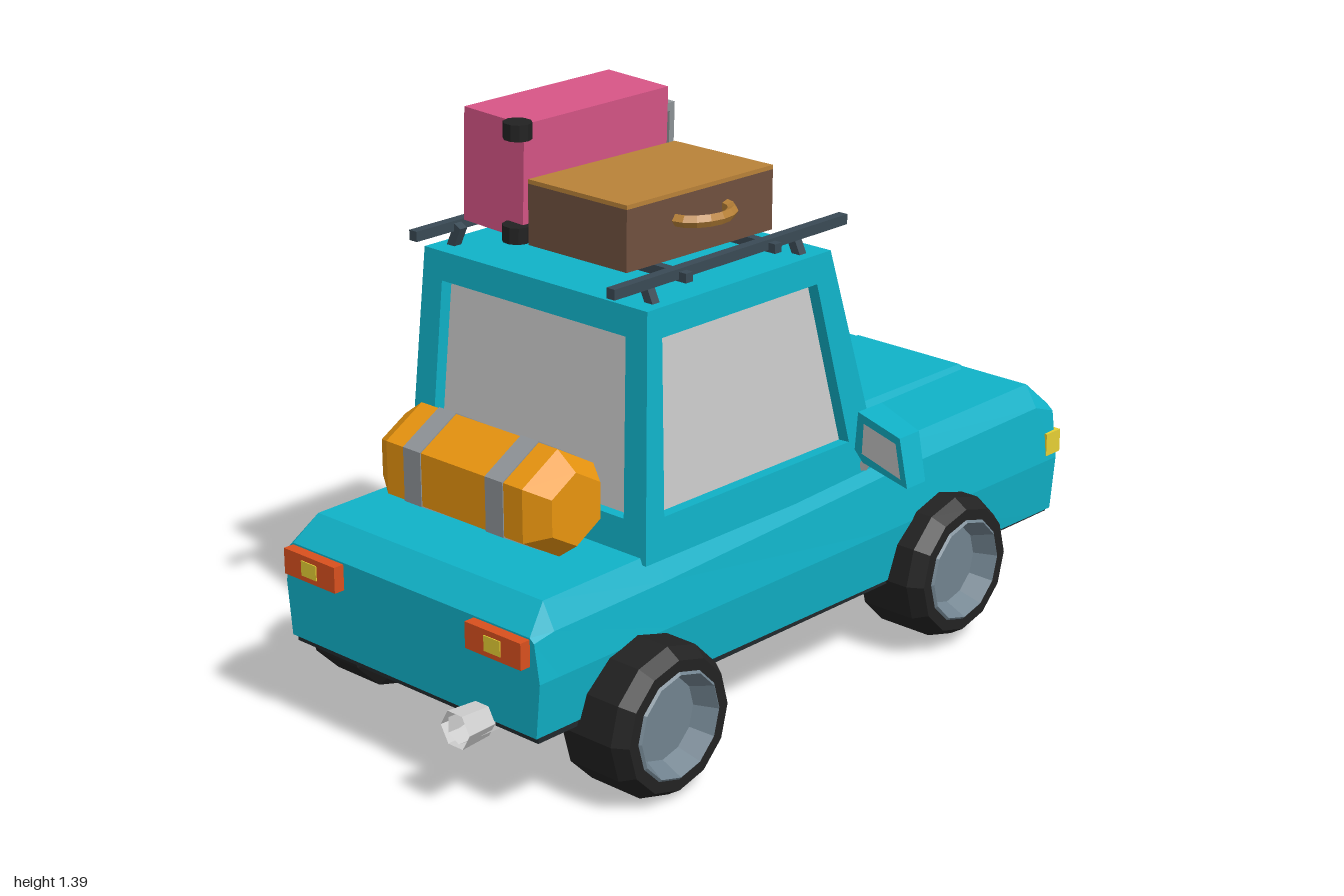
import * as THREE from 'three';

const mat = (color) => new THREE.MeshStandardMaterial({ color, flatShading: true, side: THREE.DoubleSide });
const V = (x, y, z) => new THREE.Vector3(x, y, z);

// Geometry from convex polygons, each a loop of Vector3
function polyGeometry(polys) {
  const pos = [];
  for (const p of polys) {
    for (let i = 1; i < p.length - 1; i++) for (const v of [p[0], p[i], p[i + 1]]) pos.push(v.x, v.y, v.z);
  }
  const g = new THREE.BufferGeometry();
  g.setAttribute('position', new THREE.Float32BufferAttribute(pos, 3));
  g.computeVertexNormals();
  return g;
}

// Loft along x: each section is [x, half profile of [z, y] from bottom to top]
function loft(sections) {
  const rings = sections.map(([x, half]) => [
    ...half.map(([z, y]) => V(x, y, -z)),
    ...half.slice().reverse().map(([z, y]) => V(x, y, z)),
  ]);
  const polys = [rings[0].slice().reverse(), rings[rings.length - 1]];
  for (let k = 0; k < rings.length - 1; k++) {
    const a = rings[k], b = rings[k + 1];
    a.forEach((p, i) => {
      const j = (i + 1) % a.length;
      polys.push([p, a[j], b[j], b[i]]);
    });
  }
  return polyGeometry(polys);
}

export function createModel() {
  const model = new THREE.Group();
  const car = new THREE.Group();
  car.name = 'car';
  car.rotation.y = -0.075;
  car.position.z = -0.005;
  model.add(car);

  const paint = mat(0x10b2c8), dark = mat(0x22292d), rubber = mat(0x222222), steel = mat(0x71838f);
  const grey = mat(0xcccccc), rackMat = mat(0x3a4a55), yellow = mat(0xe6cf35), red = mat(0xd9501e);
  const pink = mat(0xd65586), brown = mat(0x70503f), tan = mat(0xb98238), orange = mat(0xe8940f);
  const trim = mat(0x8f9498);

  const add = (name, geo, m, x = 0, y = 0, z = 0, parent = car) => {
    const mesh = new THREE.Mesh(geo, m);
    mesh.name = name;
    mesh.position.set(x, y, z);
    parent.add(mesh);
    return mesh;
  };
  const box = (name, m, w, h, d, x, y, z, parent) => add(name, new THREE.BoxGeometry(w, h, d), m, x, y, z, parent);

  // Lower body with boot and bonnet
  const half = (bottom, shoulder, top, topZ) => [[0.395, bottom], [0.408, 0.34], [0.393, shoulder], [topZ, top]];
  add('body', loft([
    [-0.9, half(0.21, 0.43, 0.44, 0.38)],
    [-0.84, half(0.21, 0.44, 0.5, 0.36)],
    [-0.5, half(0.21, 0.445, 0.505, 0.36)],
    [0.25, half(0.205, 0.475, 0.533, 0.36)],
    [0.84, half(0.2, 0.485, 0.54, 0.36)],
    [0.91, half(0.2, 0.46, 0.475, 0.375)],
  ]), paint);
  add('bonnetPanel', loft([
    [0.25, [[0.19, 0.51], [0.165, 0.552]]],
    [0.82, [[0.19, 0.51], [0.165, 0.552]]],
    [0.87, [[0.19, 0.48], [0.17, 0.515]]],
  ]), paint);
  box('underside', dark, 1.79, 0.02, 0.78, 0.005, 0.204, 0);

  // Cabin: four framed, recessed windows and a roof
  const corner = (front, top, side) => (top
    ? V(front ? 0.095 : -0.505, 1.055, side * 0.348)
    : V(front ? 0.252 : -0.545, 0.49, side * 0.378));
  function windowWall(name, a, b, [s0, s1, t0, t1]) {
    const c = [corner(...a(0)), corner(...b(0)), corner(...b(1)), corner(...a(1))];
    const at = (s, t) => c[0].clone().lerp(c[1], s).lerp(c[3].clone().lerp(c[2], s), t);
    const inner = [at(s0, t0), at(s1, t0), at(s1, t1), at(s0, t1)];
    const n = c[1].clone().sub(c[0]).cross(c[3].clone().sub(c[0])).normalize();
    const deep = inner.map((p) => p.clone().addScaledVector(n, -0.03));
    const polys = [];
    for (let i = 0; i < 4; i++) {
      const j = (i + 1) % 4;
      polys.push([c[i], c[j], inner[j], inner[i]], [inner[i], inner[j], deep[j], deep[i]]);
    }
    add(name + 'Frame', polyGeometry(polys), paint);
    add(name + 'Glass', polyGeometry([deep]), grey);
  }
  const post = (front, side) => (top) => [front, top, side];
  windowWall('leftWindow', post(false, 1), post(true, 1), [0.075, 0.89, 0.17, 0.88]);
  windowWall('rightWindow', post(true, -1), post(false, -1), [0.11, 0.925, 0.17, 0.88]);
  windowWall('windscreen', post(true, 1), post(true, -1), [0.07, 0.93, 0.09, 0.88]);
  windowWall('rearWindow', post(false, -1), post(false, 1), [0.09, 0.91, 0.16, 0.88]);
  add('roof', polyGeometry([[corner(false, 1, 1), corner(true, 1, 1), corner(true, 1, -1), corner(false, 1, -1)]]), paint);

  // Wheels
  const lathe = (pts, n) => new THREE.LatheGeometry(pts.map((p) => new THREE.Vector2(...p)), n);
  const tyreGeo = lathe([[0, -0.1], [0.14, -0.1], [0.177, -0.07], [0.177, 0.075], [0.155, 0.11], [0.128, 0.11]], 12);
  const rimGeo = lathe([[0.128, 0.11], [0.122, 0.115], [0.098, 0.06], [0, 0.06]], 12);
  for (const side of [1, -1]) {
    for (const [label, x, y, z] of [['front', 0.445, 0.203, 0.378], ['rear', -0.6, 0.178, 0.418]]) {
      const wheel = new THREE.Group();
      wheel.name = label + 'Wheel';
      wheel.position.set(x, y, side * z);
      wheel.rotation.x = side * Math.PI / 2;
      add('tyre', tyreGeo, rubber, 0, 0, 0, wheel);
      add('rim', rimGeo, steel, 0, 0, 0, wheel);
      car.add(wheel);
    }
  }

  // Grille with vertical bars
  box('grille', steel, 0.02, 0.155, 0.315, 0.91, 0.333, 0);
  for (let i = 0; i < 5; i++) box('grilleBar', rackMat, 0.02, 0.153, 0.03, 0.914, 0.333, -0.125 + i * 0.0625);

  // Lights and mirrors on both sides
  const mirrorShape = new THREE.Shape([[0.395, 0.575], [0.405, 0.67], [0.555, 0.652], [0.585, 0.54], [0.425, 0.552]]
    .map((p) => new THREE.Vector2(...p)));
  for (const s of [1, -1]) {
    add('headlight', new THREE.SphereGeometry(0.064, 8, 5), grey, 0.928, 0.382, s * 0.302).rotation.z = -Math.PI / 2;
    box('indicator', yellow, 0.055, 0.058, 0.04, 0.897, 0.382, s * 0.388);
    box('tailLight', red, 0.035, 0.062, 0.17, -0.91, 0.405, s * 0.295);
    box('tailLightLens', yellow, 0.01, 0.036, 0.05, -0.925, 0.405, s * 0.295);

    // Swept wing mirror, thinner at the tip
    const g = new THREE.ExtrudeGeometry(mirrorShape, { depth: 0.085, bevelEnabled: false });
    const p = g.attributes.position;
    for (let i = 0; i < p.count; i++) {
      const z = p.getX(i), y = p.getY(i), d = p.getZ(i);
      p.setXYZ(i, 0.135 - 0.22 * (z - 0.4) + d * (1 - 1.2 * (z - 0.4)), y, z * s);
    }
    if (s > 0) { // keep the winding outward after swapping axes
      for (let i = 0; i < p.count; i += 3) {
        const a = V().fromBufferAttribute(p, i), b = V().fromBufferAttribute(p, i + 1);
        p.setXYZ(i, b.x, b.y, b.z);
        p.setXYZ(i + 1, a.x, a.y, a.z);
      }
    }
    g.computeVertexNormals();
    add('wingMirror', g, paint);
    const glass = [[0.425, 0.575], [0.43, 0.65], [0.545, 0.637], [0.565, 0.557]];
    add('mirrorGlass', polyGeometry([glass.map(([z, y]) => V(0.131 - 0.22 * (z - 0.4), y, z * s))]), grey);
    add('mirrorArm', new THREE.TubeGeometry(new THREE.LineCurve3(V(0.19, 0.51, s * 0.375), V(0.18, 0.58, s * 0.425)), 1, 0.012, 5), grey);
  }

  // Exhaust pipe
  const pipe = new THREE.CatmullRomCurve3([[0.5, 0.185, -0.06], [0.15, 0.18, -0.07], [-0.15, 0.175, -0.03], [-0.27, 0.18, 0.06],
    [-0.38, 0.185, 0.17], [-0.55, 0.185, 0.21], [-0.97, 0.205, 0.23]].map((p) => V(...p)));
  add('exhaustPipe', new THREE.TubeGeometry(pipe, 14, 0.036, 6), grey);
  add('exhaustTip', new THREE.CylinderGeometry(0.045, 0.04, 0.08, 6, 1, true), grey, -0.94, 0.205, 0.229).rotation.z = Math.PI / 2;

  // Roof rack
  for (const s of [1, -1]) {
    box('rackRail', rackMat, 0.76, 0.024, 0.024, -0.195, 1.103, s * 0.308);
    for (const x of [-0.45, 0.03]) box('rackFoot', rackMat, 0.022, 0.065, 0.022, x, 1.075, s * 0.3).rotation.x = -s * 0.45;
  }
  for (const x of [-0.365, -0.075]) box('rackCrossbar', rackMat, 0.022, 0.022, 0.68, x, 1.097, 0);

  // Brown suitcase
  const suitcase = new THREE.Group();
  suitcase.name = 'brownSuitcase';
  suitcase.position.set(-0.235, 1.185, 0.105);
  suitcase.rotation.z = -0.015;
  car.add(suitcase);
  box('case', brown, 0.47, 0.14, 0.3, 0, -0.005, 0, suitcase);
  box('lid', tan, 0.47, 0.01, 0.3, 0, 0.07, 0, suitcase);
  const handle = add('handle', new THREE.TorusGeometry(0.08, 0.015, 5, 8, Math.PI), tan, 0, 0.012, 0.148, suitcase);
  handle.rotation.x = Math.PI / 2;
  handle.scale.y = 0.75;

  // Pink trolley case standing on its side
  const trolley = new THREE.Group();
  trolley.name = 'pinkCase';
  trolley.position.set(-0.222, 1.25, -0.172);
  trolley.rotation.x = 0.04;
  car.add(trolley);
  box('case', pink, 0.46, 0.265, 0.19, 0, 0, 0, trolley);
  box('pullHandle', trim, 0.016, 0.17, 0.028, 0.252, 0.005, 0.075, trolley);
  for (const s of [1, -1]) {
    box('handleMount', trim, 0.03, 0.02, 0.028, 0.236, 0.005 + s * 0.075, 0.075, trolley);
    add('caster', new THREE.CylinderGeometry(0.033, 0.033, 0.038, 10), rubber, -0.235, s * 0.118, 0.08, trolley);
  }

  // Bedroll on the boot, with two straps
  const roll = new THREE.Group();
  roll.name = 'bedroll';
  roll.position.set(-0.657, 0.63, 0.01);
  roll.rotation.x = Math.PI / 2;
  car.add(roll);
  add('roll', lathe([[0, -0.27], [0.085, -0.27], [0.125, -0.215], [0.125, 0.215], [0.085, 0.27], [0, 0.27]], 6), orange, 0, 0, 0, roll);
  for (const s of [1, -1]) add('strap', new THREE.CylinderGeometry(0.128, 0.128, 0.055, 6), trim, 0, s * 0.13, 0, roll);

  return model;
}
